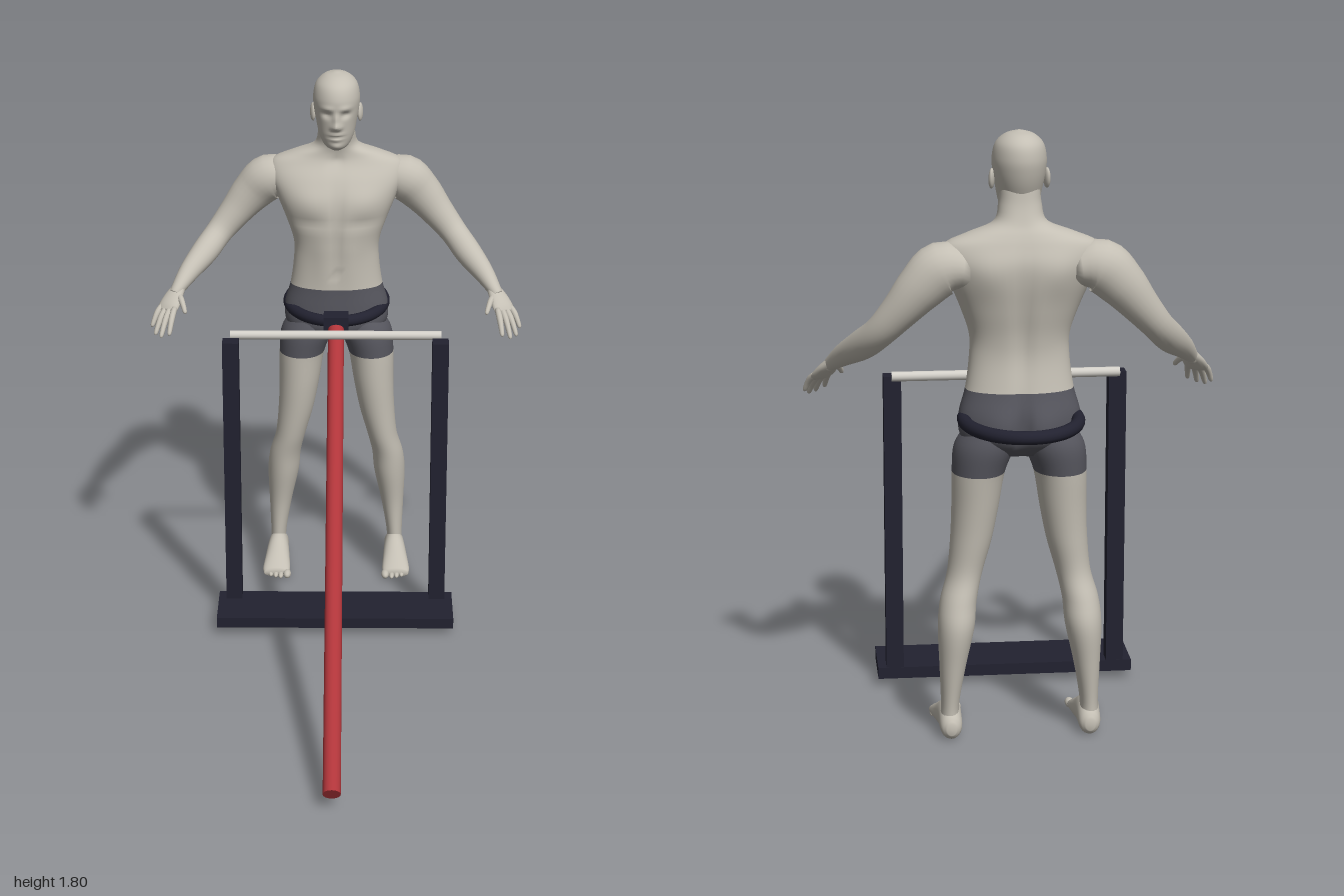
import * as THREE from 'three';

const V = (x, y, z) => new THREE.Vector3(x, y, z);
const mat = (name, color) => Object.assign(new THREE.MeshStandardMaterial({ color }), { name });
const Y = V(0, 1, 0), Z = V(0, 0, 1);

// Smooth closed loft through rows of [x, y, z, a, b]; a and b are the ring radii.
// ref sets the ring's orientation, axis keeps all rings parallel, sculpt moves vertices.
function loft(rows, { ref = Z, axis = null, steps = 4, n = 24, power = 1, sculpt = null } = {}) {
  const path = new THREE.CatmullRomCurve3(rows.map(r => V(r[0], r[1], r[2])), false, 'catmullrom');
  const size = new THREE.CatmullRomCurve3(rows.map(r => V(r[3], r[4], 0)), false, 'catmullrom');
  const m = (rows.length - 1) * steps, pos = [], idx = [];
  const put = p => { if (sculpt) sculpt(p); pos.push(p.x, p.y, p.z); };
  const round = c => Math.sign(c) * Math.abs(c) ** power;
  for (let i = 0; i <= m; i++) {
    const c = path.getPoint(i / m), s = size.getPoint(i / m);
    const t = axis || path.getTangent(i / m);
    const u = t.clone().cross(ref).normalize(), v = u.clone().cross(t).normalize();
    for (let j = 0; j < n; j++) {
      const q = j / n * Math.PI * 2;
      put(c.clone().addScaledVector(u, s.x * round(Math.cos(q))).addScaledVector(v, s.y * round(Math.sin(q))));
    }
  }
  for (let i = 0; i < m; i++) for (let j = 0; j < n; j++) {
    const k = (j + 1) % n, a = i * n + j, b = i * n + k, c = a + n, d = b + n;
    idx.push(a, c, b, b, c, d);
  }
  put(path.getPoint(0));
  put(path.getPoint(1));
  const p0 = (m + 1) * n;
  for (let j = 0; j < n; j++) {
    const k = (j + 1) % n;
    idx.push(p0, j, k, p0 + 1, m * n + k, m * n + j);
  }
  const g = new THREE.BufferGeometry();
  g.setAttribute('position', new THREE.Float32BufferAttribute(pos, 3));
  g.setIndex(idx);
  g.computeVertexNormals();
  return g;
}

// Soft mirrored bumps [x, y, width, height, depth along z]
function bump(p, list) {
  let d = 0;
  for (const [x, y, w, h, amt] of list)
    d += amt * Math.exp(-(((Math.abs(p.x) - x) / w) ** 2) - ((p.y - y) / h) ** 2);
  p.z += d;
}

// Splits faces into skin (group 0) and shorts (group 1) by height
function splitShorts(g) {
  const p = g.attributes.position, src = g.index.array, out = [[], []];
  for (let i = 0; i < src.length; i += 3) {
    const f = [src[i], src[i + 1], src[i + 2]];
    const y = f.reduce((s, k) => s + p.getY(k), 0) / 3;
    out[y > 0.81 && y < 1.062 ? 1 : 0].push(...f);
  }
  g.setIndex([...out[0], ...out[1]]);
  g.addGroup(0, out[0].length, 0);
  g.addGroup(out[0].length, out[1].length, 1);
  return g;
}

export function createModel() {
  const root = new THREE.Group();
  const skin = mat('skin', 0xc4bfb4), shorts = mat('shorts', 0x57575f);
  const frame = mat('dark frame', 0x222230), red = mat('red pole', 0xb0353a), pale = mat('pale bar', 0xd2cfc8);
  const add = (name, geo, m, parent = root) => {
    const o = new THREE.Mesh(geo, m);
    o.name = name;
    parent.add(o);
    return o;
  };
  const box = (name, x, y, z, w, h, d) => add(name, new THREE.BoxGeometry(w, h, d), frame).position.set(x, y, z);
  const rod = (name, a, b, r, m) => {
    const o = add(name, new THREE.CylinderGeometry(r, r, a.distanceTo(b), 24), m);
    o.position.copy(a).lerp(b, 0.5);
    o.quaternion.setFromUnitVectors(Y, b.clone().sub(a).normalize());
  };

  // Stand, crossbar, pole and hip ring
  box('basePlate', 0, 0.043, -0.23, 0.8, 0.036, 0.2);
  for (const s of [1, -1]) box('post', s * 0.347, 0.525, -0.302, 0.054, 0.95, 0.054);
  rod('crossbar', V(-0.35, 1.005, -0.344), V(0.35, 1.005, -0.344), 0.015, pale);
  rod('pole', V(0, 0.06, 0.985), V(0, 0.965, -0.5), 0.027, red);
  box('ringBracket', 0, 0.975, -0.532, 0.084, 0.064, 0.068);
  const hoop = new THREE.EllipseCurve(0, 0, 0.165, 0.213).getPoints(48).slice(0, 48)
    .map(p => V(p.x, 0.975, p.y - 0.767));
  add('hipRing', new THREE.TubeGeometry(new THREE.CatmullRomCurve3(hoop, true), 72, 0.02, 14, true), frame);

  // Torso with neck
  const body = new THREE.Group();
  body.name = 'figure';
  root.add(body);
  const front = [[0.09, 1.37, 0.075, 0.05, 0.012], [0.085, 1.3, 0.07, 0.018, -0.006], [0, 1.3, 0.013, 0.15, -0.008],
    [0.045, 1.17, 0.03, 0.1, 0.005], [0, 1.115, 0.008, 0.01, -0.008], [0, 1.5, 0.02, 0.02, -0.008]];
  const back = [[0, 1.25, 0.025, 0.2, 0.014], [0.1, 1.41, 0.05, 0.06, -0.008], [0.065, 0.95, 0.05, 0.06, -0.012],
    [0, 0.94, 0.015, 0.07, 0.02]];
  const torso = loft([
    [0, 0.865, -0.72, 0.07, 0.06], [0, 0.91, -0.722, 0.165, 0.098], [0, 0.98, -0.725, 0.178, 0.102],
    [0, 1.06, -0.72, 0.158, 0.095], [0, 1.15, -0.713, 0.146, 0.09], [0, 1.22, -0.712, 0.146, 0.096],
    [0, 1.3, -0.717, 0.172, 0.108], [0, 1.38, -0.73, 0.205, 0.11], [0, 1.44, -0.742, 0.228, 0.1],
    [0, 1.49, -0.75, 0.22, 0.077], [0, 1.52, -0.748, 0.155, 0.066], [0, 1.55, -0.738, 0.078, 0.06],
    [0, 1.6, -0.722, 0.062, 0.06], [0, 1.65, -0.715, 0.058, 0.06],
  ], { axis: Y, n: 64, steps: 5, power: 0.9, sculpt: p => bump(p, p.z > -0.725 ? front : back) });
  add('torso', splitShorts(torso), [skin, shorts], body);

  // Head: brow, eye sockets, nose, lips and chin pushed out of the loft
  const face = [[0, 1.643, 0.013, 0.013, 0.02], [0, 1.667, 0.01, 0.02, 0.011], [0.013, 1.638, 0.008, 0.008, 0.006],
    [0.03, 1.703, 0.022, 0.01, 0.006], [0.031, 1.682, 0.015, 0.011, -0.011], [0, 1.614, 0.022, 0.007, 0.007],
    [0, 1.597, 0.02, 0.007, 0.007], [0, 1.606, 0.024, 0.003, -0.005], [0, 1.572, 0.022, 0.014, 0.008]];
  add('head', loft([
    [0, 1.555, -0.655, 0.018, 0.025], [0, 1.568, -0.665, 0.04, 0.048], [0, 1.6, -0.682, 0.058, 0.074],
    [0, 1.645, -0.692, 0.068, 0.09], [0, 1.69, -0.698, 0.076, 0.1], [0, 1.73, -0.7, 0.078, 0.104],
    [0, 1.77, -0.704, 0.068, 0.091], [0, 1.795, -0.708, 0.042, 0.057], [0, 1.806, -0.708, 0.008, 0.01],
  ], { axis: Y, n: 72, steps: 8, sculpt: p => { if (p.z > -0.67) bump(p, face); } }), skin, body);

  for (const s of [1, -1]) {
    const flip = rows => rows.map(([x, ...r]) => [s * x, ...r]);
    const limb = (name, rows, opt) => add(name, loft(flip(rows), opt), skin, body);

    const ear = add('ear', new THREE.SphereGeometry(1, 14, 10), skin, body);
    ear.scale.set(0.009, 0.031, 0.018);
    ear.position.set(s * 0.079, 1.668, -0.705);
    ear.rotation.set(-0.2, s * -0.3, 0);

    // Arm
    limb('arm', [
      [0.15, 1.42, -0.765, 0.05, 0.06], [0.225, 1.422, -0.765, 0.078, 0.076], [0.285, 1.372, -0.768, 0.071, 0.066],
      [0.345, 1.302, -0.757, 0.056, 0.054], [0.402, 1.235, -0.73, 0.046, 0.045], [0.448, 1.185, -0.67, 0.045, 0.044],
      [0.497, 1.14, -0.595, 0.035, 0.034], [0.533, 1.1, -0.53, 0.023, 0.026], [0.543, 1.085, -0.515, 0.02, 0.024],
    ]);

    // Hand
    const wide = V(s * 0.83, 0, -0.55);
    limb('palm', [
      [0.53, 1.102, -0.533, 0.018, 0.024], [0.546, 1.08, -0.508, 0.018, 0.034],
      [0.56, 1.057, -0.482, 0.016, 0.039], [0.568, 1.042, -0.466, 0.01, 0.036],
    ], { ref: wide, n: 18 });
    const digits = [
      [[0.543, 1.05, -0.45], [0.555, 0.988, -0.378]], [[0.56, 1.046, -0.46], [0.583, 0.977, -0.386]],
      [[0.575, 1.045, -0.47], [0.604, 0.977, -0.412]], [[0.589, 1.05, -0.486], [0.617, 0.993, -0.447]],
      [[0.528, 1.085, -0.505], [0.503, 1.045, -0.435]],
    ];
    for (const [a, b] of digits) {
      const at = (k, r) => [...a.map((c, i) => c + (b[i] - c) * k + (i === 1 ? 0.03 * k * (1 - k) : 0)), r, r];
      limb('finger', [at(-0.15, 0.01), at(0.3, 0.0105), at(0.65, 0.009), at(0.93, 0.007), at(1, 0.002)],
        { n: 10, steps: 3 });
    }

    // Leg
    const leg = loft(flip([
      [0.085, 0.95, -0.725, 0.07, 0.085], [0.102, 0.89, -0.722, 0.089, 0.1], [0.12, 0.81, -0.718, 0.078, 0.094],
      [0.13, 0.7, -0.713, 0.069, 0.084], [0.142, 0.6, -0.712, 0.061, 0.074], [0.161, 0.5, -0.715, 0.052, 0.065],
      [0.181, 0.42, -0.733, 0.054, 0.069], [0.189, 0.34, -0.747, 0.054, 0.072], [0.2, 0.22, -0.75, 0.039, 0.054],
      [0.208, 0.1, -0.745, 0.027, 0.043], [0.209, 0.04, -0.745, 0.03, 0.043],
    ]), { axis: Y.clone().negate(), n: 32, steps: 5 });
    add('leg', splitShorts(leg), [skin, shorts], body);

    // Foot with toes
    limb('foot', [
      [0.207, 0.036, -0.802, 0.014, 0.018], [0.207, 0.04, -0.78, 0.032, 0.04], [0.208, 0.052, -0.715, 0.036, 0.054],
      [0.21, 0.036, -0.65, 0.043, 0.04], [0.212, 0.021, -0.59, 0.048, 0.024], [0.212, 0.016, -0.562, 0.043, 0.014],
    ], { axis: Z, ref: Y, sculpt: p => { p.y = Math.max(p.y, 0.002); } });
    for (let i = 0; i < 5; i++) {
      const toe = add('toe', new THREE.SphereGeometry(1, 12, 8), skin, body), big = i ? 0.0095 : 0.014;
      toe.scale.set(big, big, 0.026);
      toe.position.set(s * (i ? 0.179 + i * 0.0175 : 0.174), big + 0.001, -0.559 - i * i * 0.0018);
    }
  }
  return root;
}
